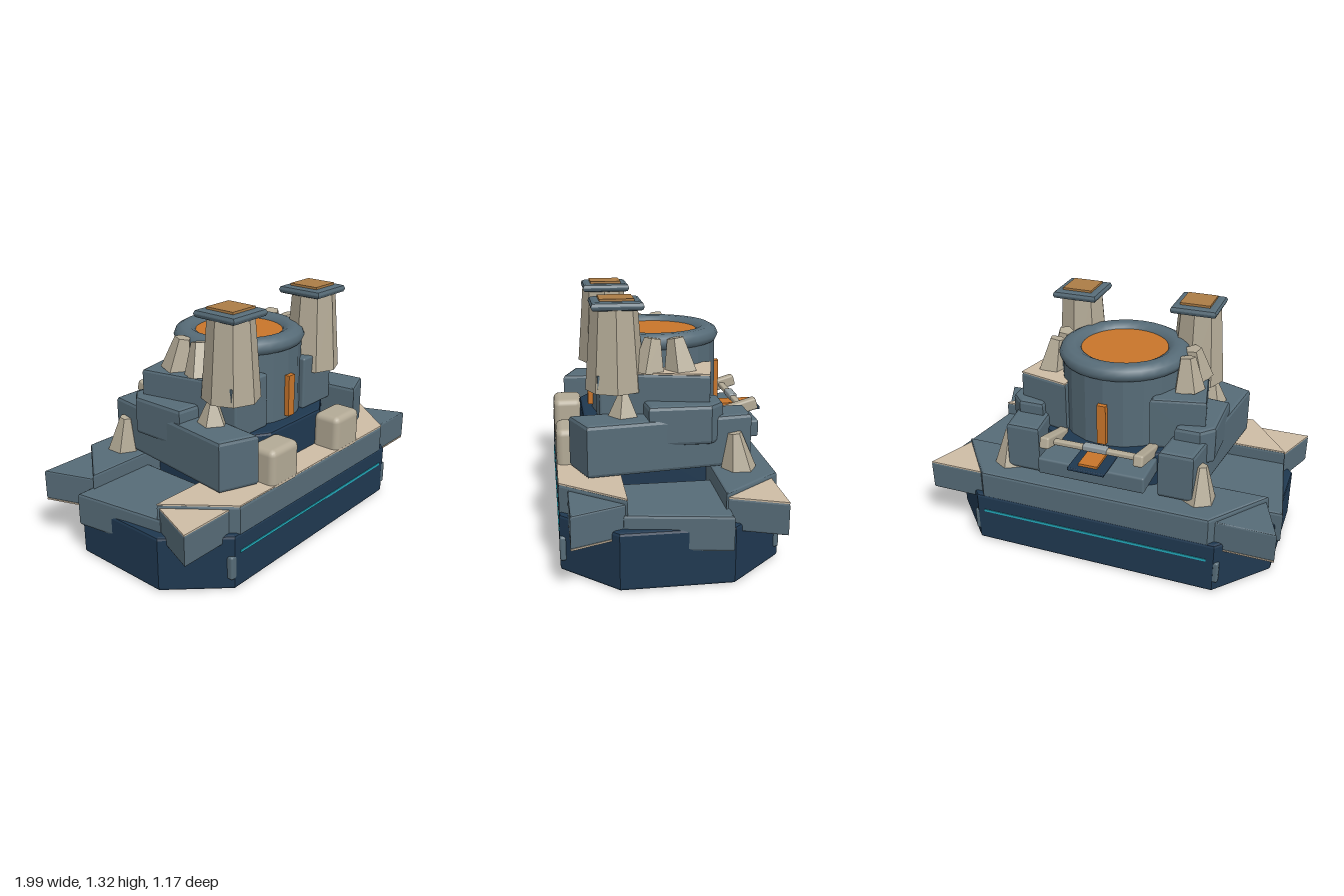
import * as THREE from 'three';
import { RoundedBoxGeometry } from 'three/addons/geometries/RoundedBoxGeometry.js';

const mat = (name, hex) => {
  const m = new THREE.MeshStandardMaterial({ color: hex });
  m.name = name;
  return m;
};

export function createModel() {
  const root = new THREE.Group();
  root.name = 'fortressVehicle';
  const slate = mat('slate armour', 0x566b77);
  const navy = mat('navy hull', 0x1f3850);
  const tan = mat('tan panel', 0xcdbca5);
  const stone = mat('stone', 0xb3aa96);
  const orange = mat('orange glow', 0xc8752a);
  const amber = mat('dull amber', 0xab7c46);
  const cyan = mat('cyan light', 0x22a9ba);
  const steel = mat('pale steel', 0x929ca0);

  const add = (name, geo, m, x = 0, y = 0, z = 0) => {
    const mesh = new THREE.Mesh(geo, m);
    mesh.name = name;
    mesh.position.set(x, y, z);
    root.add(mesh);
    return mesh;
  };
  // Bevelled vertical prism from a plan outline of [x, z] points
  const prism = (name, pts, y0, y1, m, b = 0.015) => {
    const shape = new THREE.Shape(pts.map(([x, z]) => new THREE.Vector2(x, -z)));
    const geo = new THREE.ExtrudeGeometry(shape, {
      depth: y1 - y0 - 2 * b, bevelEnabled: b > 0, bevelSize: b, bevelThickness: b,
      bevelOffset: -b, bevelSegments: 2,
    });
    geo.rotateX(-Math.PI / 2);
    geo.translate(0, y0 + b, 0);
    return add(name, geo, m);
  };
  const box = (name, w, h, d, m, x, y, z, r = 0.012) =>
    add(name, r ? new RoundedBoxGeometry(w, h, d, 2, r) : new THREE.BoxGeometry(w, h, d), m, x, y, z);
  // Faceted frustum with a corner on each axis
  const frustum = (name, r0, r1, h, sides, m, x, y, z) => {
    const geo = new THREE.CylinderGeometry(r1, r0, h, sides).toNonIndexed();
    geo.computeVertexNormals();
    return add(name, geo, m, x, y + h / 2, z);
  };
  const flip = (pts, s) => pts.map(([x, z]) => [x * s, z]);
  const both = half => [...half, ...flip(half, -1).reverse()];

  // Hull
  prism('hull', both([[0.69, 0.585], [0.95, 0.31], [0.95, -0.25], [0.69, -0.535]]), 0, 0.3, navy);
  for (const [z, zPeg] of [[0.585, 0.565], [-0.535, -0.512]]) {
    box('lightStrip', 1.3, 0.014, 0.008, cyan, 0, 0.2, z, 0);
    for (const s of [1, -1]) box('hullPeg', 0.04, 0.13, 0.045, slate, s * 0.697, 0.125, zPeg);
  }

  // Front and rear deck slabs
  const frontDeck = both([[0.65, 0.583], [0.9, 0.265]]);
  prism('frontDeck', frontDeck, 0.28, 0.445, slate);
  prism('frontDeckPanel', frontDeck, 0.443, 0.451, tan, 0);
  prism('rearDeck', both([[0.9, -0.21], [0.65, -0.53]]), 0.28, 0.45, slate);

  // Corner wings: tan face alternates between top and underside
  for (const s of [1, -1]) {
    const front = flip([[0.89, 0.27], [0.995, 0.54], [0.62, 0.54]], s);
    const rear = flip([[0.89, -0.22], [0.995, -0.495], [0.62, -0.495]], s);
    prism('frontWing', front, 0.256, 0.422, slate, 0.01);
    prism('rearWing', rear, 0.256, 0.422, slate, 0.01);
    const [up, down] = s > 0 ? [rear, front] : [front, rear];
    prism('wingTopPanel', up, 0.42, 0.428, tan, 0);
    prism('wingUnderPanel', down, 0.25, 0.258, tan, 0);
    // Sponson along the flank
    prism('sideSlab', flip([[0.5, 0.285], [0.9, 0.285], [0.985, -0.235], [0.5, -0.235]], s), 0.185, 0.37, slate);
  }

  // Central core
  prism('core', both([[0.22, 0.43], [0.42, 0.3], [0.42, -0.22], [0.22, -0.36]]), 0.29, 0.65, navy);

  // Drum with ring and glowing lid
  frustum('drum', 0.35, 0.345, 0.46, 20, slate, 0, 0.61, 0.02);
  const ring = new THREE.TorusGeometry(0.297, 0.065, 10, 32);
  ring.rotateX(Math.PI / 2);
  ring.scale(1, 0.75, 1);
  add('drumRing', ring, slate, 0, 1.07, 0.02);
  frustum('drumLid', 0.25, 0.25, 0.03, 14, orange, 0, 1.06, 0.02);
  for (const z of [0.375, -0.335]) box('drumSlot', 0.05, 0.23, 0.035, orange, 0, 0.785, z, 0);

  for (const s of [1, -1]) {
    // Stacked flank armour
    prism('lowerFlank', flip([[0.43, 0.515], [0.637, 0.435], [0.53, -0.42], [0.34, -0.42]], s), 0.455, 0.73, slate, 0.02);
    prism('middleFlank', flip([[0.38, 0.14], [0.585, 0.12], [0.588, -0.2], [0.52, -0.27], [0.38, -0.27]], s), 0.59, 0.8, slate, 0.02);
    const upper = flip([[0.25, 0.21], [0.44, 0.21], [0.53, -0.2], [0.24, -0.265]], s);
    prism('upperFlank', upper, 0.65, 0.94, slate);
    if (s > 0) prism('upperFlankPanel', upper, 0.938, 0.946, tan, 0);
    box('shoulder', 0.26, 0.295, 0.2, slate, s * 0.29, 0.795, 0.255);

    // Front bollards
    box('frontBlock', 0.225, 0.23, 0.165, stone, s * 0.285, 0.525, 0.5, 0.035);

    // Towers with square caps
    frustum('tower', 0.155, 0.122, 0.425, 8, stone, s * 0.352, 0.845, 0.268);
    prism('towerCap', flip([[0.218, 0.127], [0.475, 0.127], [0.475, 0.392], [0.218, 0.392]], s), 1.265, 1.31, slate, 0.02);
    box('towerCapPlate', 0.17, 0.014, 0.175, amber, s * 0.345, 1.315, 0.26, 0);
    frustum('towerSpike', 0.011, 0.011, 0.09, 6, slate, s * 0.455, 0.85, 0.36);
    frustum('towerBrace', 0.085, 0.025, 0.13, 5, stone, s * 0.46, 0.72, 0.235);

    // Paired fins beside the drum
    for (const [z, lean] of [[0.085, -0.15], [-0.06, 0.15]]) {
      const fin = frustum('roofFin', 0.09, 0.045, 0.18, 5, stone, s * 0.385, 0.93, z);
      fin.rotation.x = lean;
      fin.rotation.z = s * 0.12;
    }

    // Rear buttress and claw arms
    const buttress = frustum('rearButtress', 0.095, 0.035, 0.2, 6, stone, s * 0.55, 0.44, -0.34);
    buttress.rotation.x = 0.12;
    const arm = box('clawArm', 0.055, 0.065, 0.27, stone, s * 0.262, 0.675, -0.385);
    arm.rotation.x = 0.28;
    box('clawLink', 0.18, 0.028, 0.035, stone, s * 0.15, 0.685, -0.435, 0.008);
  }

  // Rear ledge with signal plate
  box('rearLedge', 0.6, 0.095, 0.24, slate, 0, 0.572, -0.405);
  box('rearPlate', 0.205, 0.018, 0.255, navy, 0, 0.63, -0.458, 0.005);
  box('rearGlow', 0.105, 0.016, 0.2, orange, 0, 0.645, -0.45, 0);
  box('rearBar', 0.135, 0.035, 0.045, steel, 0, 0.69, -0.435, 0.008);
  return root;
}
